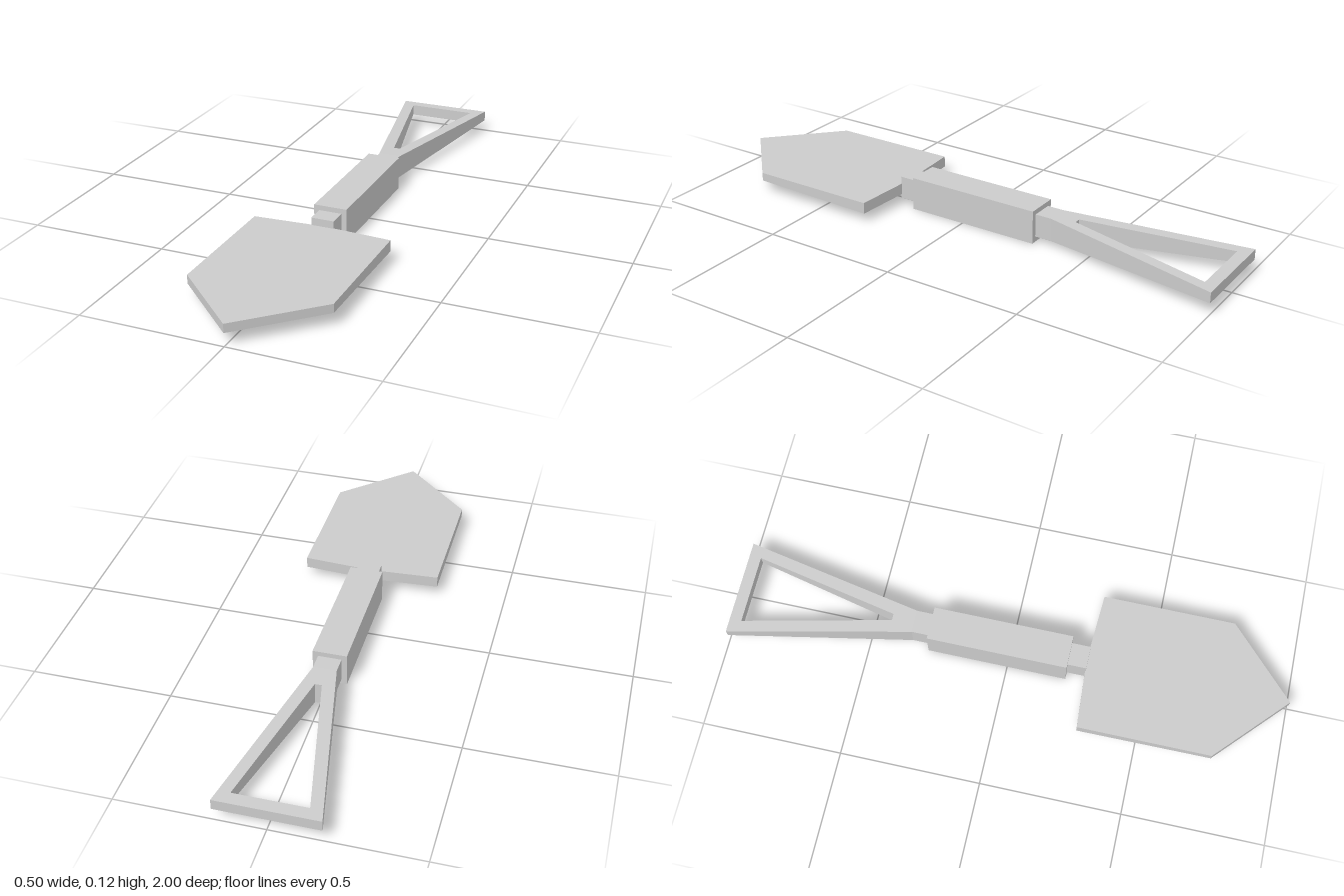
import * as THREE from 'three';

const material = new THREE.MeshStandardMaterial({ color: 0xcccccc, flatShading: true });

function addMesh(group, name, geometry) {
  const mesh = new THREE.Mesh(geometry, material);
  mesh.name = name;
  group.add(mesh);
}

const toPoints = (list) => list.map(([x, z]) => new THREE.Vector2(x, z));

// Box spanning two z positions, centred on x
function bar(halfWidth, y0, y1, z0, z1) {
  return new THREE.BoxGeometry(halfWidth * 2, y1 - y0, z1 - z0)
    .translate(0, (y0 + y1) / 2, (z0 + z1) / 2);
}

// Plate with an (x, z) outline, whose top and bottom heights follow rules along z
function plate(outline, hole, top, bottom) {
  const shape = new THREE.Shape(toPoints(outline));
  if (hole) shape.holes.push(new THREE.Path(toPoints(hole)));
  const geometry = new THREE.ExtrudeGeometry(shape, { depth: 1, bevelEnabled: false });
  geometry.rotateX(Math.PI / 2);
  const p = geometry.attributes.position;
  for (let i = 0; i < p.count; i++) {
    const z = p.getZ(i);
    p.setY(i, p.getY(i) > -0.5 ? top(z) : bottom(z));
  }
  geometry.computeVertexNormals();
  return geometry;
}

export function createModel() {
  const group = new THREE.Group();
  const { mapLinear } = THREE.MathUtils;

  // Pointed blade, slightly thicker towards the shaft
  addMesh(group, 'blade', plate(
    [[0, 0.275], [0.25, 0.29], [0.25, 0.765], [0, 1], [-0.25, 0.765], [-0.25, 0.29]],
    null,
    () => 0.077,
    (z) => Math.min(0.046, mapLinear(z, 0.29, 0.765, 0.036, 0.046)),
  ));

  // Square shaft running through the thicker grip
  addMesh(group, 'shaft', bar(0.041, 0.02, 0.104, -0.35, 0.28));
  addMesh(group, 'grip', bar(0.06, 0, 0.122, -0.29, 0.213));

  // Open triangular handle that thins towards its end
  addMesh(group, 'handle', plate(
    [[0.041, -0.35], [-0.041, -0.35], [-0.175, -1], [0.175, -1]],
    [[0.012, -0.43], [-0.012, -0.43], [-0.125, -0.957], [0.125, -0.957]],
    (z) => mapLinear(z, -0.35, -1, 0.104, 0.081),
    (z) => mapLinear(z, -0.35, -1, 0.02, 0.043),
  ));

  return group;
}
